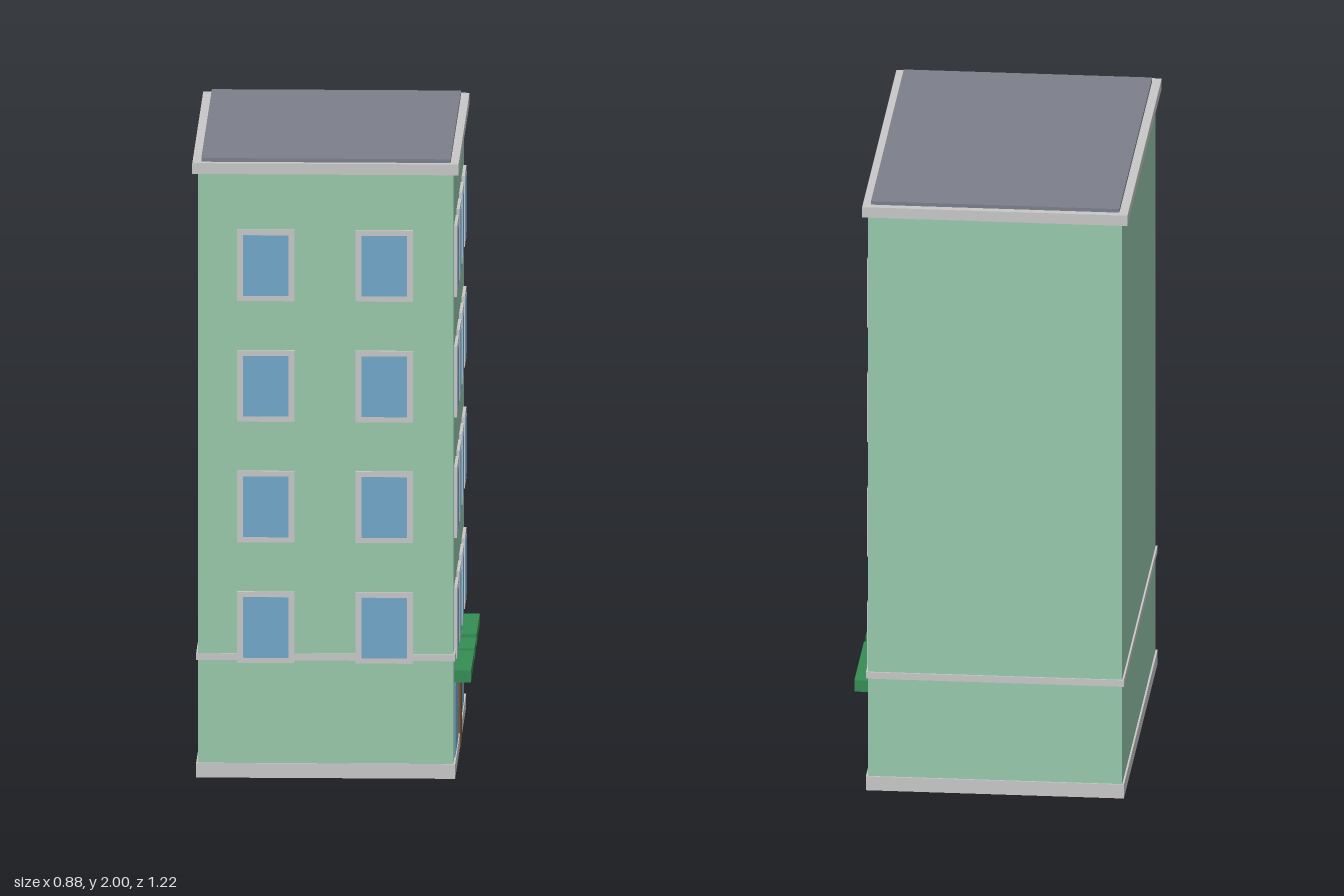
import * as THREE from 'three';

const mat = (name, color) => {
  const m = new THREE.MeshStandardMaterial({ color });
  m.name = name;
  return m;
};

export function createModel() {
  const green = mat('wallGreen', 0x98c9ac);
  const grey = mat('trimGrey', 0xc8c8c8);
  const slate = mat('roofSlate', 0x7c808b);
  const blue = mat('glassBlue', 0x72a9cb);
  const awningGreen = mat('awningGreen', 0x368e55);
  const brown = mat('doorBrown', 0x7f5535);

  const building = new THREE.Group();
  building.name = 'apartmentBuilding';

  // Box given by its lower and upper limits on each axis
  const box = (name, material, x0, x1, y0, y1, z0, z1, parent = building) => {
    const mesh = new THREE.Mesh(new THREE.BoxGeometry(x1 - x0, y1 - y0, z1 - z0), material);
    mesh.position.set((x0 + x1) / 2, (y0 + y1) / 2, (z0 + z1) / 2);
    mesh.name = name;
    parent.add(mesh);
    return mesh;
  };

  const wallX = 0.388, wallZ = 0.5925;

  // Main body, plinth, belt course, cornice and roof
  box('walls', green, -0.423, wallX, 0.02, 1.97, -wallZ, wallZ);
  box('plinth', grey, -0.429, 0.394, 0, 0.047, -0.598, 0.598);
  box('beltCourse', grey, -0.429, 0.394, 0.38, 0.402, -0.598, 0.598);
  box('cornice', grey, -0.441, 0.405, 1.953, 1.988, -0.608, 0.608);
  box('roof', slate, -0.413, 0.379, 1.98, 2.0, -0.583, 0.583);

  // Framed window, facing +z before its group is turned
  const addWindow = (x, y, z, turn) => {
    const w = new THREE.Group();
    w.name = 'window';
    box('windowFrame', grey, -0.091, 0.091, -0.115, 0.115, -0.005, 0.01, w);
    box('windowGlass', blue, -0.072, 0.072, -0.098, 0.098, 0.006, 0.0115, w);
    w.position.set(x, y, z);
    w.rotation.y = turn;
    building.add(w);
  };

  for (let floor = 0; floor < 4; floor++) {
    const y = 0.487 + floor * 0.39;
    for (const x of [-0.208, 0.169]) addWindow(x, y, wallZ, 0);
    for (let i = 0; i < 4; i++) addWindow(wallX, y, -0.421 + i * 0.2807, Math.PI / 2);
  }

  // Street side: two shop windows, a door, and an awning above each
  for (const s of [-1, 1]) {
    const z = s * 0.3115;
    box('shopWindow', blue, wallX - 0.004, wallX + 0.003, 0.045, 0.277, z - 0.159, z + 0.159);
    box('shopAwning', awningGreen, wallX - 0.005, 0.441, 0.29, 0.328, z - 0.1715, z + 0.1715);
  }
  box('door', brown, wallX, 0.3965, 0.002, 0.282, -0.074, 0.074);
  box('doorAwning', awningGreen, wallX - 0.005, 0.441, 0.29, 0.325, -0.093, 0.093);

  return building;
}
